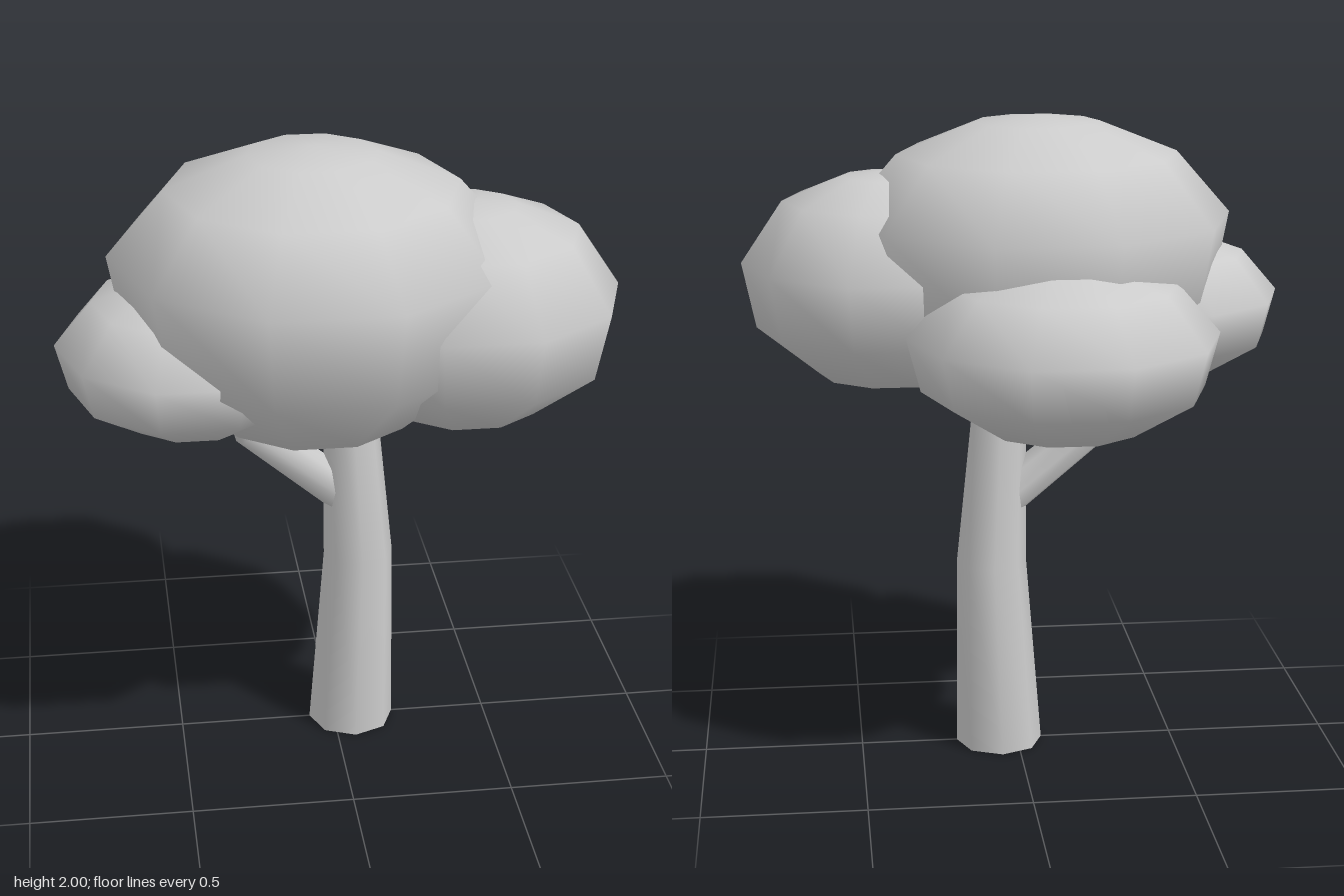
import * as THREE from 'three';
import { mergeVertices, toCreasedNormals } from 'three/addons/utils/BufferGeometryUtils.js';

const material = new THREE.MeshStandardMaterial({ color: 0xcccccc });

function addMesh(group, name, geometry) {
  const mesh = new THREE.Mesh(geometry, material);
  mesh.name = name;
  group.add(mesh);
  return mesh;
}

// Weld a lathe's seam and poles so its shading is smooth all round
function weld(geometry) {
  geometry.deleteAttribute('normal');
  geometry.deleteAttribute('uv');
  const welded = mergeVertices(geometry, 1e-4);
  welded.computeVertexNormals();
  return welded;
}

// Ten-sided leaf clump: domed top, widest row at `waist`, flatter underside
function clump(cx, cz, rx, rz, bottom, top, waist = 0.58, lower = 0.275) {
  const profile = [[0, 0], [0.5, 0.05], [0.91, lower], [1, waist], [0.72, 0.865], [0.32, 0.975], [0, 1]];
  const points = profile.map(([r, y]) => new THREE.Vector2(r, y));
  const geometry = weld(new THREE.LatheGeometry(points, 10, Math.PI / 2));
  geometry.scale(rx, top - bottom, rz);
  geometry.translate(cx, bottom, cz);
  geometry.computeVertexNormals();
  return geometry;
}

// Closed limb through rings [x, y, radius, tilt], moved from a stacked unit lathe
function limb(rings, sides) {
  const last = rings.length - 1;
  const points = [
    new THREE.Vector2(0, 0),
    ...rings.map((_, i) => new THREE.Vector2(1, i)),
    new THREE.Vector2(0, last),
  ];
  const geometry = weld(new THREE.LatheGeometry(points, sides, Math.PI / 2));
  const p = geometry.attributes.position;
  for (let i = 0; i < p.count; i++) {
    const [x, y, r, tilt] = rings[Math.round(p.getY(i))];
    const u = p.getX(i) * r;
    p.setXYZ(i, x + u * Math.cos(tilt), y + u * Math.sin(tilt), p.getZ(i) * r);
  }
  return toCreasedNormals(geometry, 1.2);
}

export function createModel() {
  const group = new THREE.Group();
  group.name = 'tree';

  // Bent, tapering trunk and its side branch
  addMesh(group, 'trunk', limb([[0.058, 0, 0.137, 0], [0.08, 0.61, 0.11, 0], [0.047, 1.25, 0.077, 0]], 8));
  addMesh(group, 'branch', limb([[0.05, 0.81, 0.07, 0.85], [-0.25, 1.055, 0.065, 0.6], [-0.325, 1.3, 0.05, 0.3]], 8));

  // Overlapping foliage
  addMesh(group, 'mainFoliage', clump(-0.077, 0.13, 0.605, 0.61, 1.13, 2, 0.644, 0.31));
  addMesh(group, 'leftFoliage', clump(0.377, 0.163, 0.463, 0.463, 1.16, 1.83));
  addMesh(group, 'rightFoliage', clump(-0.445, 0.163, 0.4, 0.42, 1.17, 1.625));
  addMesh(group, 'backFoliage', clump(-0.115, -0.263, 0.47, 0.47, 1.085, 1.615));

  return group;
}
